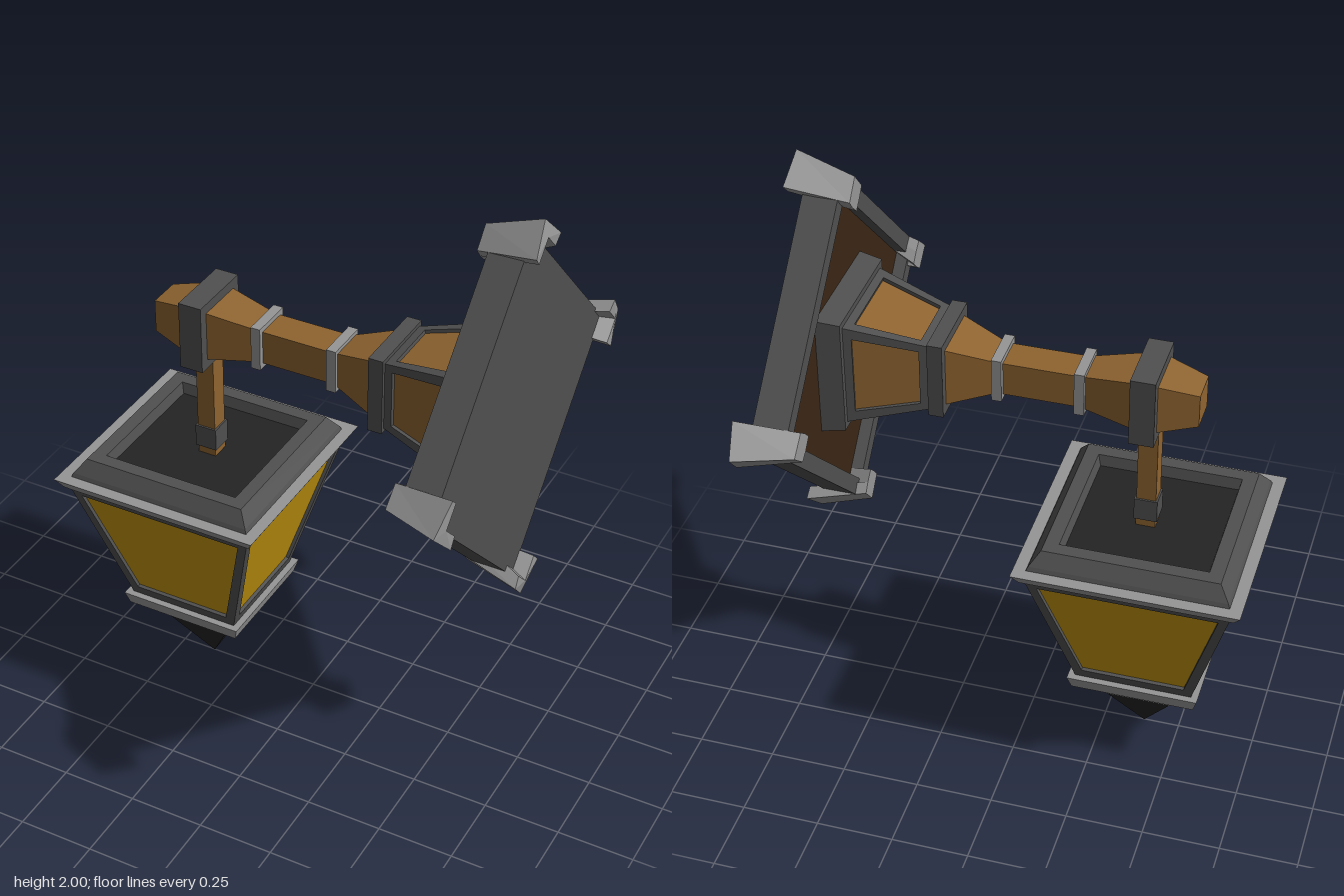
import * as THREE from 'three';

const mat = (name, color) => {
  const m = new THREE.MeshStandardMaterial({ color });
  m.name = name;
  return m;
};

export function createModel() {
  const iron = mat('iron', 0x505050);
  const steel = mat('steel', 0x969696);
  const black = mat('black iron', 0x242424);
  const wood = mat('wood', 0x8f6430);
  const darkWood = mat('dark wood', 0x3a2614);
  const glass = mat('amber glass', 0xc2940e);

  const flat = (g) => {
    const f = g.index ? g.toNonIndexed() : g;
    f.computeVertexNormals();
    return f;
  };
  const add = (parent, name, geo, material) => {
    const m = new THREE.Mesh(geo, material);
    m.name = name;
    parent.add(m);
    return m;
  };
  // square frustum along y, half-width r0 at y0 and r1 at y1
  const frustum = (parent, name, y0, r0, y1, r1, material) => {
    const g = new THREE.CylinderGeometry(r1 * Math.SQRT2, r0 * Math.SQRT2, y1 - y0, 4);
    g.rotateY(Math.PI / 4).translate(0, (y0 + y1) / 2, 0);
    return add(parent, name, flat(g), material);
  };
  const polygon = (Type, pts) => new Type(pts.map(([x, y]) => new THREE.Vector2(x, y)));
  const trapezoid = (y0, r0, y1, r1) => [[-r0, y0], [r0, y0], [r1, y1], [-r1, y1]];

  // four sloping framed windows round a recessed core
  const framedBox = (parent, name, y0, r0, y1, r1, win, coreMaterial) => {
    const inset = 0.012, slant = Math.hypot(y1 - y0, r1 - r0), k = slant / (y1 - y0);
    const shape = polygon(THREE.Shape, trapezoid(0, r0, slant, r1));
    shape.holes.push(polygon(THREE.Path, trapezoid((win[0] - y0) * k, win[1], (win[2] - y0) * k, win[3])));
    const g = new THREE.ExtrudeGeometry(shape, { depth: 0.02, bevelEnabled: false });
    g.translate(0, 0, -0.02).rotateX(Math.atan2(r1 - r0, y1 - y0)).translate(0, y0, r0);
    for (let i = 0; i < 4; i++) add(parent, name + 'Frame', g, iron).rotation.y = i * Math.PI / 2;
    frustum(parent, name + 'Panels', y0, r0 - inset, y1, r1 - inset, coreMaterial);
  };
  // square ring lofted through [halfWidth, y] profile points
  const squareRing = (parent, name, profile, material) => {
    const g = new THREE.LatheGeometry(profile.map(([r, y]) => new THREE.Vector2(r * Math.SQRT2, y)), 4, Math.PI / 4);
    return add(parent, name, flat(g), material);
  };

  const model = new THREE.Group();
  model.name = 'wallLantern';

  // lantern
  const lantern = new THREE.Group();
  lantern.name = 'lantern';
  lantern.position.x = -0.3825;
  model.add(lantern);
  frustum(lantern, 'finial', 0, 0.001, 0.185, 0.105, black);
  frustum(lantern, 'finialRing', 0.185, 0.105, 0.193, 0.105, steel);
  frustum(lantern, 'neck', 0.193, 0.093, 0.222, 0.093, iron);
  frustum(lantern, 'neckFlare', 0.222, 0.093, 0.28, 0.147, iron);
  frustum(lantern, 'lowerRim', 0.278, 0.2, 0.322, 0.213, steel);
  framedBox(lantern, 'window', 0.32, 0.19, 0.795, 0.323, [0.355, 0.167, 0.765, 0.285], glass);
  frustum(lantern, 'upperRim', 0.795, 0.335, 0.832, 0.358, steel);
  squareRing(lantern, 'roof', [[0.318, 0.832], [0.312, 0.845], [0.28, 0.89], [0.235, 0.89], [0.225, 0.85]], iron);
  frustum(lantern, 'roofWell', 0.835, 0.228, 0.853, 0.228, black);

  // hanging post
  const post = new THREE.Group();
  post.name = 'post';
  post.position.x = -0.368;
  model.add(post);
  frustum(post, 'postBeam', 0.85, 0.031, 1.27, 0.031, wood);
  frustum(post, 'postCollar', 0.88, 0.037, 0.957, 0.037, iron);

  // arm, built along y and turned to run along x
  const arm = new THREE.Group();
  arm.name = 'arm';
  arm.position.y = 1.341;
  arm.rotation.z = -Math.PI / 2;
  model.add(arm);
  frustum(arm, 'armTip', -0.525, 0.055, -0.4, 0.083, wood);
  frustum(arm, 'armBand', -0.403, 0.115, -0.325, 0.115, iron);
  frustum(arm, 'armTaper', -0.325, 0.083, -0.165, 0.057, wood);
  frustum(arm, 'armBeam', -0.165, 0.056, 0.1, 0.056, wood);
  for (const x of [-0.16, 0.098]) frustum(arm, 'armRing', x - 0.016, 0.073, x + 0.016, 0.073, steel);
  frustum(arm, 'armFlare', 0.1, 0.056, 0.255, 0.1, wood);
  frustum(arm, 'baseBand', 0.25, 0.128, 0.298, 0.128, iron);
  framedBox(arm, 'base', 0.298, 0.115, 0.548, 0.173, [0.325, 0.095, 0.52, 0.132], wood);
  frustum(arm, 'baseFlange', 0.545, 0.192, 0.64, 0.205, iron);

  // diamond wall plate with a recessed panel
  const plate = new THREE.Group();
  plate.name = 'wallPlate';
  plate.position.y = 1.337;
  model.add(plate);
  const diamond = (r) => [[r, 0], [0, r], [-r, 0], [0, -r]];
  const slab = (name, r, hole, x0, x1, material) => {
    const s = polygon(THREE.Shape, diamond(r));
    if (hole) s.holes.push(polygon(THREE.Path, diamond(hole)));
    const g = new THREE.ExtrudeGeometry(s, { depth: x1 - x0, bevelEnabled: false });
    add(plate, name, g.rotateY(Math.PI / 2).translate(x0, 0, 0), material);
  };
  slab('plateRim', 0.605, 0.53, 0.58, 0.66, iron);
  slab('plateBack', 0.605, 0, 0.66, 0.69, iron);
  slab('platePanel', 0.535, 0, 0.62, 0.661, darkWood);

  // corner caps: a diamond in front opening into a chevron behind, as [x, y, z]
  const front = [[0.6, 0], [0.54, 0.053], [0.51, 0.03], [0.482, 0], [0.51, -0.03], [0.54, -0.053]]
    .map(([y, z]) => [0.545, y, z]);
  const back = [[0.722, 0.663, 0], [0.738, 0.58, 0.085], [0.735, 0.55, 0.057],
    [0.735, 0.607, 0], [0.735, 0.55, -0.057], [0.738, 0.58, -0.085]];
  const index = [];
  for (let i = 0; i < 6; i++) {
    const j = (i + 1) % 6;
    index.push(i, j, 6 + j, i, 6 + j, 6 + i);
    if (i !== 3 && j !== 3) index.push(3, j, i, 9, 6 + i, 6 + j);
  }
  const cap = new THREE.BufferGeometry();
  cap.setAttribute('position', new THREE.Float32BufferAttribute([...front, ...back].flat(), 3));
  cap.setIndex(index);
  const capGeo = flat(cap);
  for (let i = 0; i < 4; i++) add(plate, 'cornerCap', capGeo, steel).rotation.x = i * Math.PI / 2;

  return model;
}
